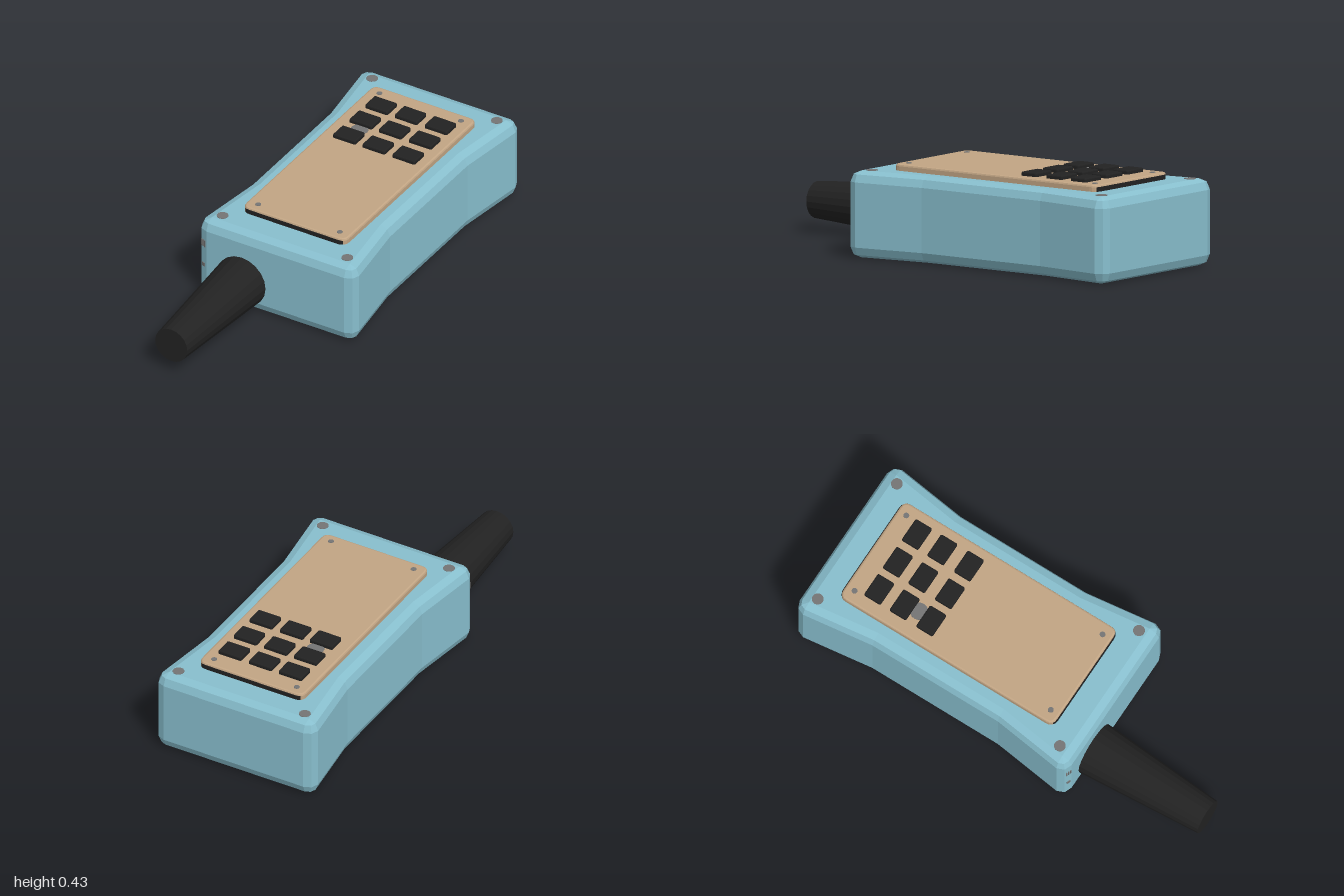
import * as THREE from 'three';

const mat = (name, color) => {
  const m = new THREE.MeshStandardMaterial({ color });
  m.name = name;
  return m;
};

// Rounded slab lying flat, from y0 to y1, with a bevelled rim
function slab(w, d, r, y0, y1, bevel) {
  const x = w / 2, z = d / 2, s = new THREE.Shape();
  s.moveTo(-x + r, -z).lineTo(x - r, -z).quadraticCurveTo(x, -z, x, -z + r);
  s.lineTo(x, z - r).quadraticCurveTo(x, z, x - r, z);
  s.lineTo(-x + r, z).quadraticCurveTo(-x, z, -x, z - r);
  s.lineTo(-x, -z + r).quadraticCurveTo(-x, -z, -x + r, -z);
  const g = new THREE.ExtrudeGeometry(s, {
    depth: y1 - y0 - 2 * bevel, curveSegments: 4, bevelEnabled: bevel > 0,
    bevelSize: bevel, bevelOffset: -bevel, bevelThickness: bevel, bevelSegments: 2,
  });
  return g.rotateX(-Math.PI / 2).translate(0, y0 + bevel, 0);
}

// Waisted case: a core outline grown outwards ring by ring for the rounded edges
function caseGeometry() {
  const R = 0.048, H = 0.383, k = Math.SQRT1_2, cx = 0.351, zF = 0.362, zB = -0.952, wx = 0.307;
  const outline = [];
  const corner = (x, z, start) => {
    for (let i = 0; i < 3; i++) {
      const a = start + i * Math.PI / 4;
      outline.push([x, z, Math.sin(a), Math.cos(a)]);
    }
  };
  corner(cx, zF, 0);
  outline.push([wx, 0.03, 1, 0], [wx, -0.62, 1, 0]);
  corner(cx, zB, Math.PI / 2);
  corner(-cx, zB, Math.PI);
  outline.push([-wx, -0.62, -1, 0], [-wx, 0.03, -1, 0]);
  corner(-cx, zF, Math.PI * 1.5);

  const lower = [[0, 0], [R * (1 - k), R * k], [R, R]];
  const rings = [...lower, ...lower.map(([y, o]) => [H - y, o]).reverse()];
  const pos = [], index = [], n = outline.length;
  for (const [y, o] of rings)
    for (const [x, z, dx, dz] of outline) pos.push(x + dx * o, y, z + dz * o);
  const bottom = pos.length / 3, top = bottom + 1, last = (rings.length - 1) * n;
  pos.push(0, 0, -0.295, 0, H, -0.295);
  for (let i = 0; i < n; i++) {
    const j = (i + 1) % n;
    for (let r = 0; r < rings.length - 1; r++) {
      const a = r * n, b = a + n;
      index.push(a + i, a + j, b + j, a + i, b + j, b + i);
    }
    index.push(bottom, j, i, top, last + i, last + j);
  }
  const g = new THREE.BufferGeometry();
  g.setAttribute('position', new THREE.Float32BufferAttribute(pos, 3));
  g.setIndex(index);
  const flat = g.toNonIndexed();
  flat.computeVertexNormals();
  return flat;
}

export function createModel() {
  const group = new THREE.Group();
  const blue = mat('case blue', 0x88bfce);
  const tan = mat('panel tan', 0xc2a584);
  const black = mat('black rubber', 0x222222);
  black.flatShading = true;
  const grey = mat('screw grey', 0x757575);

  const add = (name, geometry, material, x = 0, y = 0, z = 0) => {
    const m = new THREE.Mesh(geometry, material);
    m.name = name;
    m.position.set(x, y, z);
    group.add(m);
    return m;
  };

  add('case', caseGeometry(), blue);

  // Raised panel with black end strips
  add('panel', slab(0.526, 1.108, 0.035, 0.37, 0.412, 0.009), tan, 0, 0, -0.299);
  add('panelEndStrips', slab(0.512, 1.114, 0.03, 0.37, 0.403, 0), black, 0, 0, -0.299);

  // Keypad
  const key = slab(0.115, 0.085, 0.008, 0.405, 0.43, 0.006);
  for (const z of [-0.72, -0.588, -0.45])
    for (const x of [-0.146, 0.004, 0.157]) add('key', key, black, x, 0, z);
  add('keypadMark', new THREE.CylinderGeometry(0.04, 0.04, 0.004, 16), grey, -0.135, 0.412, -0.52);

  // Tapered antenna pointing forwards
  const antenna = new THREE.CylinderGeometry(0.082, 0.124, 0.61, 20);
  antenna.rotateX(Math.PI / 2);
  add('antenna', antenna, black, -0.172, 0.138, 0.695);

  // Screws on the case (both faces) and the panel
  const caseScrew = new THREE.CylinderGeometry(0.026, 0.026, 0.006, 16);
  const baseScrew = new THREE.CylinderGeometry(0.016, 0.016, 0.004, 12);
  const panelScrew = new THREE.CylinderGeometry(0.013, 0.013, 0.004, 12);
  for (const x of [-1, 1]) {
    for (const z of [-0.928, 0.328]) {
      add('caseScrew', caseScrew, grey, x * 0.318, 0.382, z);
      add('baseScrew', baseScrew, black, x * 0.318, 0.0015, z);
    }
    for (const z of [-0.808, 0.21]) add('panelScrew', panelScrew, grey, x * 0.208, 0.412, z);
  }

  // Small contact bars on the front right corner
  for (let i = 0; i < 3; i++) {
    const t = (i - 1) * 0.011, a = -Math.PI / 8;
    const bar = add('contactBar', new THREE.BoxGeometry(0.006, 0.034, 0.003), grey,
      -0.3688 + t * Math.cos(a), 0.268, 0.4063 - t * Math.sin(a));
    bar.rotation.y = a;
  }
  const dot = add('contactDot', new THREE.BoxGeometry(0.018, 0.018, 0.003), grey, -0.3688, 0.157, 0.4063);
  dot.rotation.y = -Math.PI / 8;
  return group;
}
